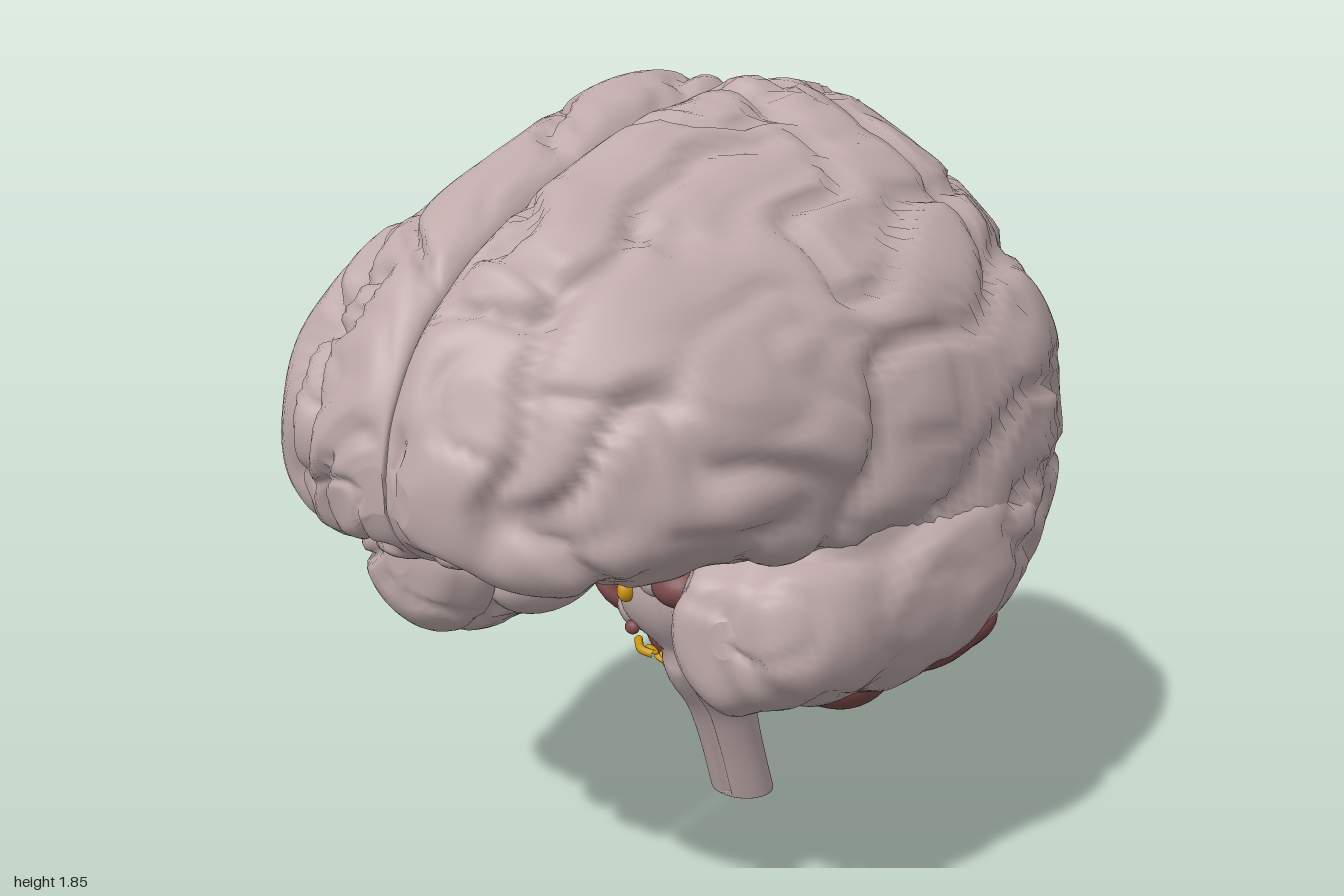
import * as THREE from 'three';
import { mergeVertices } from 'three/addons/utils/BufferGeometryUtils.js';

const mat = (name, color) => Object.assign(new THREE.MeshStandardMaterial({ color }), { name });
const V = (x, y, z) => new THREE.Vector3(x, y, z);
const mix = THREE.MathUtils.lerp, ramp = THREE.MathUtils.smoothstep;

// Smooth seeded value noise in the range -1..1
function hash(x, y, z) {
  let h = Math.imul(x, 374761393) ^ Math.imul(y, 668265263) ^ Math.imul(z, 1274126177);
  h = Math.imul(h ^ (h >>> 13), 1103515245);
  return (((h ^ (h >>> 16)) >>> 0) / 4294967295) * 2 - 1;
}
function noise(x, y, z) {
  const c = [x, y, z].map(Math.floor);
  const [u, v, w] = [x - c[0], y - c[1], z - c[2]].map((t) => t * t * (3 - 2 * t));
  const row = (j, k) => mix(hash(c[0], c[1] + j, c[2] + k), hash(c[0] + 1, c[1] + j, c[2] + k), u);
  return mix(mix(row(0, 0), row(1, 0), v), mix(row(0, 1), row(1, 1), v), w);
}
const groove = (t, width) => Math.exp(-((t / width) ** 2));

// Reads a table of [station, ...values], stations descending, with cubic smoothing
function sampler(rows) {
  const cubic = new THREE.CubicInterpolant(rows.map((r) => -r[0]), rows.flatMap((r) => r.slice(1)), rows[0].length - 1);
  return (z) => Array.from(cubic.evaluate(-z));
}

// Joins closed cross-sections from front to back and caps both ends
function loft(rows, steps, section) {
  const at = sampler(rows), z0 = rows[0][0], z1 = rows[rows.length - 1][0];
  const pos = [], index = [], mids = [];
  let n = 0;
  for (let i = 0; i <= steps; i++) {
    const z = mix(z0, z1, (1 - Math.cos((Math.PI * i) / steps)) / 2);
    const ring = section(at(z));
    n = ring.length;
    const mid = V(0, 0, 0);
    ring.forEach((p) => { pos.push(p.x, p.y, z); mid.add(V(p.x, p.y, z).divideScalar(n)); });
    mids.push(mid);
  }
  const first = (steps + 1) * n;
  pos.push(...mids[0].toArray(), ...mids[steps].toArray());
  for (let j = 0; j < n; j++) {
    const k = (j + 1) % n;
    for (let i = 0; i < steps; i++) {
      const a = i * n + j, b = i * n + k;
      index.push(a, a + n, b, b, a + n, b + n);
    }
    index.push(first, j, k, first + 1, steps * n + k, steps * n + j);
  }
  const geo = new THREE.BufferGeometry();
  geo.setAttribute('position', new THREE.Float32BufferAttribute(pos, 3));
  geo.setIndex(index);
  geo.computeVertexNormals();
  return geo;
}

const ellipse = (count) => ([cx, cy, rx, ry]) => Array.from({ length: count }, (_, i) => {
  const a = (i / count) * Math.PI * 2;
  return V(cx + rx * Math.cos(a), cy + ry * Math.sin(a), 0);
});

// Pushes each vertex along its normal by a rule
function displace(geo, rule) {
  const p = geo.attributes.position, nrm = geo.attributes.normal, q = V(), m = V();
  for (let i = 0; i < p.count; i++) {
    q.fromBufferAttribute(p, i);
    m.fromBufferAttribute(nrm, i);
    q.addScaledVector(m, rule(q, m));
    p.setXYZ(i, q.x, q.y, q.z);
  }
  geo.computeVertexNormals();
  return geo;
}

function mirror(geo) {
  geo.scale(-1, 1, 1);
  const ix = geo.index.array;
  for (let i = 0; i < ix.length; i += 3) [ix[i], ix[i + 1]] = [ix[i + 1], ix[i]];
  geo.computeVertexNormals();
  return geo;
}

function ellipsoid(center, radii, detail = 16, tilt = 0) {
  let geo = new THREE.SphereGeometry(1, detail * 2, detail);
  geo.deleteAttribute('uv');
  geo.deleteAttribute('normal');
  geo = mergeVertices(geo, 1e-4);
  geo.scale(...radii).rotateZ(tilt).translate(...center);
  geo.computeVertexNormals();
  return geo;
}

// Winding folds: a wide and a fine network of furrows, plus a long furrow along the frontal lobe
const folds = (seed) => (p) => {
  const wx = p.x + 0.05 * noise(p.y * 6 + seed, p.z * 6, 3);
  const wy = p.y + 0.05 * noise(p.z * 6, p.x * 6 + seed, 9);
  const wz = p.z + 0.05 * noise(p.x * 6, p.y * 6 + seed, 5);
  const a = noise(wx * 5.6 + seed, wy * 4.6, wz * 4.4 + 20);
  const b = noise(wx * 7 + 40, wy * 7 + seed, wz * 6);
  const long = groove(wx - 0.26, 0.022) * ramp(p.z, 0, 0.3) * ramp(p.y, 1, 1.1);
  const d = 0.012 + 0.012 * b - 0.032 * groove(a, 0.12) - 0.01 * groove(b, 0.13) - 0.03 * long;
  return d * ramp(p.x, 0.004, 0.07);
};

// z, top, half width, height of widest point, outer bottom, inner bottom
const CEREBRUM = [
  [0.995, 1.18, 0.08, 1.13, 1.08, 1.09], [0.98, 1.26, 0.16, 1.13, 1.04, 1.05],
  [0.95, 1.34, 0.24, 1.14, 1.01, 1.01], [0.9, 1.43, 0.34, 1.13, 0.98, 0.98],
  [0.8, 1.53, 0.48, 1.12, 0.96, 0.98], [0.7, 1.6, 0.56, 1.12, 0.95, 0.98],
  [0.5, 1.69, 0.62, 1.13, 0.91, 0.98], [0.3, 1.76, 0.67, 1.13, 0.88, 0.98],
  [0.1, 1.81, 0.73, 1.12, 0.82, 0.95], [-0.1, 1.83, 0.77, 1.1, 0.72, 0.92],
  [-0.3, 1.8, 0.77, 1.06, 0.65, 0.84], [-0.5, 1.7, 0.7, 1.03, 0.62, 0.7],
  [-0.7, 1.51, 0.57, 0.98, 0.61, 0.62], [-0.8, 1.39, 0.48, 0.95, 0.59, 0.6],
  [-0.9, 1.24, 0.37, 0.9, 0.59, 0.62], [-0.96, 1.12, 0.26, 0.88, 0.66, 0.7],
  [-1, 0.97, 0.12, 0.88, 0.8, 0.82],
];
function cerebrumSection([T, W, Y, B, M]) {
  const pts = [
    [0.004, M], [0.4 * W, mix(M, B, 0.15)], [0.75 * W, mix(M, B, 0.85)], [0.95 * W, mix(B, Y, 0.42)], [W, Y],
    [0.93 * W, mix(Y, T, 0.37)], [0.74 * W, mix(Y, T, 0.64)], [0.43 * W, mix(Y, T, 0.9)],
    [0.19 * W, T], [0.008, mix(M, T, 0.93)], [0.004, mix(M, T, 0.5)],
  ].map(([x, y]) => V(x, y, 0));
  const curve = new THREE.CatmullRomCurve3(pts, true, 'centripetal');
  return curve.getSpacedPoints(124).slice(0, 124).map((p) => V(Math.max(p.x, 0.003), p.y, 0));
}

// z, centre x, centre y, half width, half height
const TEMPORAL = [
  [0.545, 0.44, 0.78, 0.03, 0.04], [0.53, 0.44, 0.78, 0.09, 0.1], [0.48, 0.45, 0.77, 0.15, 0.16],
  [0.4, 0.45, 0.77, 0.19, 0.2], [0.2, 0.47, 0.81, 0.235, 0.28], [0, 0.51, 0.86, 0.25, 0.31],
  [-0.2, 0.53, 0.89, 0.24, 0.3], [-0.4, 0.49, 0.89, 0.23, 0.28], [-0.6, 0.4, 0.85, 0.18, 0.21],
  [-0.72, 0.35, 0.83, 0.08, 0.1],
];

// y, centre x, centre -z, half width, half depth
const STEM = [
  [0.97, 0, 0.02, 0.15, 0.12], [0.8, 0, 0.03, 0.15, 0.11], [0.72, 0, 0.01, 0.15, 0.11],
  [0.66, 0, 0, 0.19, 0.12], [0.57, 0, 0, 0.21, 0.11], [0.5, 0, 0.02, 0.18, 0.09],
  [0.465, 0, 0.035, 0.12, 0.075], [0.42, 0, 0.05, 0.11, 0.1], [0.36, 0, 0.075, 0.11, 0.095],
  [0.28, 0, 0.12, 0.095, 0.08], [0.18, 0, 0.16, 0.086, 0.075], [0, 0, 0.225, 0.085, 0.075],
];

export function createModel() {
  const root = new THREE.Group();
  root.name = 'brain';
  const cortex = mat('cortex', 0xbfaaaa);
  const cerebellumRed = mat('cerebellumRed', 0x7d4a4b);
  const nerveYellow = mat('nerveYellow', 0xc8960e);
  const add = (name, geo, material) => {
    const mesh = new THREE.Mesh(geo, material);
    mesh.name = name;
    root.add(mesh);
  };
  const tube = (name, pts, r) => add(name, new THREE.TubeGeometry(
    new THREE.CatmullRomCurve3(pts.map((p) => V(...p))), 12, r, 8), nerveYellow);

  // Brainstem with a groove down the front
  const stem = loft(STEM, 50, ellipse(72)).rotateX(-Math.PI / 2);
  add('brainstem', displace(stem, (p, n) => (n.z > 0.3 ? -0.018 * groove(p.x, 0.013) : 0)), cortex);
  add('deepCore', ellipsoid([0, 0.98, -0.08], [0.2, 0.1, 0.28]), cortex);
  add('hypothalamus', ellipsoid([0, 0.91, 0.15], [0.075, 0.07, 0.09]), cortex);
  add('pituitary', ellipsoid([0, 0.7, 0.13], [0.06, 0.05, 0.06]), cortex);
  add('pituitaryStalk', new THREE.CylinderGeometry(0.025, 0.03, 0.16, 16).translate(0, 0.79, 0.14), cortex);
  add('ponsSpot', ellipsoid([-0.14, 0.515, 0.065], [0.02, 0.018, 0.015], 10), cerebellumRed);
  add('vermis', ellipsoid([0, 0.46, -0.38], [0.1, 0.14, 0.22]), cerebellumRed);

  // Gently lumpy surface with one horizontal fissure
  const leaves = (p) => {
    const y = p.y - 0.15 * (p.x - 0.3) + 0.02 * Math.sin(p.x * 9 + p.z * 5);
    return -0.015 * groove(y - 0.5, 0.014) + 0.012 * noise(p.x * 7, p.y * 7, p.z * 7);
  };

  for (const s of [1, -1]) {
    const side = s > 0 ? 'left' : 'right';
    const sided = (geo) => (s > 0 ? geo : mirror(geo));
    const rule = folds(s > 0 ? 3.3 : 17.7);

    add(side + 'Hemisphere', sided(displace(loft(CEREBRUM, 110, cerebrumSection), rule)), cortex);
    add(side + 'TemporalLobe', sided(displace(loft(TEMPORAL, 56, ellipse(64)), rule)), cortex);

    // Cerebellum lobes, outer ends raised
    const lobes = [
      ['Upper', [0.3, 0.49, -0.43], [0.288, 0.145, 0.3], 0.16],
      ['Middle', [0.29, 0.44, -0.41], [0.24, 0.125, 0.25], 0.3],
      ['Lower', [0.2, 0.375, -0.345], [0.17, 0.12, 0.155], 0.1],
    ];
    for (const [n, c, r, tilt] of lobes) {
      add(side + n + 'CerebellumLobe', sided(displace(ellipsoid(c, r, 30, tilt), leaves)), cerebellumRed);
    }
    add(side + 'Peduncle', ellipsoid([s * 0.17, 0.54, -0.12], [0.1, 0.09, 0.16]), cortex);
    add(side + 'Amygdala', ellipsoid([s * 0.265, 0.825, 0.4], [0.075, 0.052, 0.08]), cerebellumRed);
    add(side + 'InnerTemporalFold', ellipsoid([s * 0.29, 0.69, 0.2], [0.09, 0.11, 0.2], 16, s * -0.4), cortex);

    // Optic crossing and other nerves
    tube(side + 'OpticNerve', [[0, 0.83, 0.25], [s * 0.07, 0.845, 0.28], [s * 0.22, 0.84, 0.34]], 0.011);
    tube(side + 'OpticBranch', [[s * -0.02, 0.845, 0.25], [s * 0.05, 0.81, 0.26], [s * 0.09, 0.79, 0.24]], 0.01);
    add(side + 'OlfactoryBulb', ellipsoid([s * 0.335, 0.935, 0.4], [0.065, 0.032, 0.06], 16, s * -0.3), nerveYellow);
    tube(side + 'EyeMuscleNerve', [[s * 0.06, 0.68, 0.1], [s * 0.1, 0.74, 0.14], [s * 0.11, 0.82, 0.2]], 0.008);
    add(side + 'FacialNerve', ellipsoid([s * 0.13, 0.625, 0.1], [0.022, 0.028, 0.025], 10), nerveYellow);
    tube(side + 'PonsNerve', [[s * 0.1, 0.44, 0.03], [s * 0.14, 0.445, 0.03], [s * 0.17, 0.455, 0.0]], 0.011);
    for (let i = 0; i < 6; i++) {
      const center = [s * (0.15 - 0.03 * (i % 2)), 0.42 - i * 0.018, -0.03 - i * 0.018];
      add(side + 'Rootlet' + (i + 1), ellipsoid(center, [0.02, 0.008, 0.012], 8, s * 0.4), nerveYellow);
    }
  }
  tube('infundibularNerve', [[0, 0.84, 0.25], [0, 0.8, 0.2], [0, 0.75, 0.175]], 0.008);
  return root;
}
